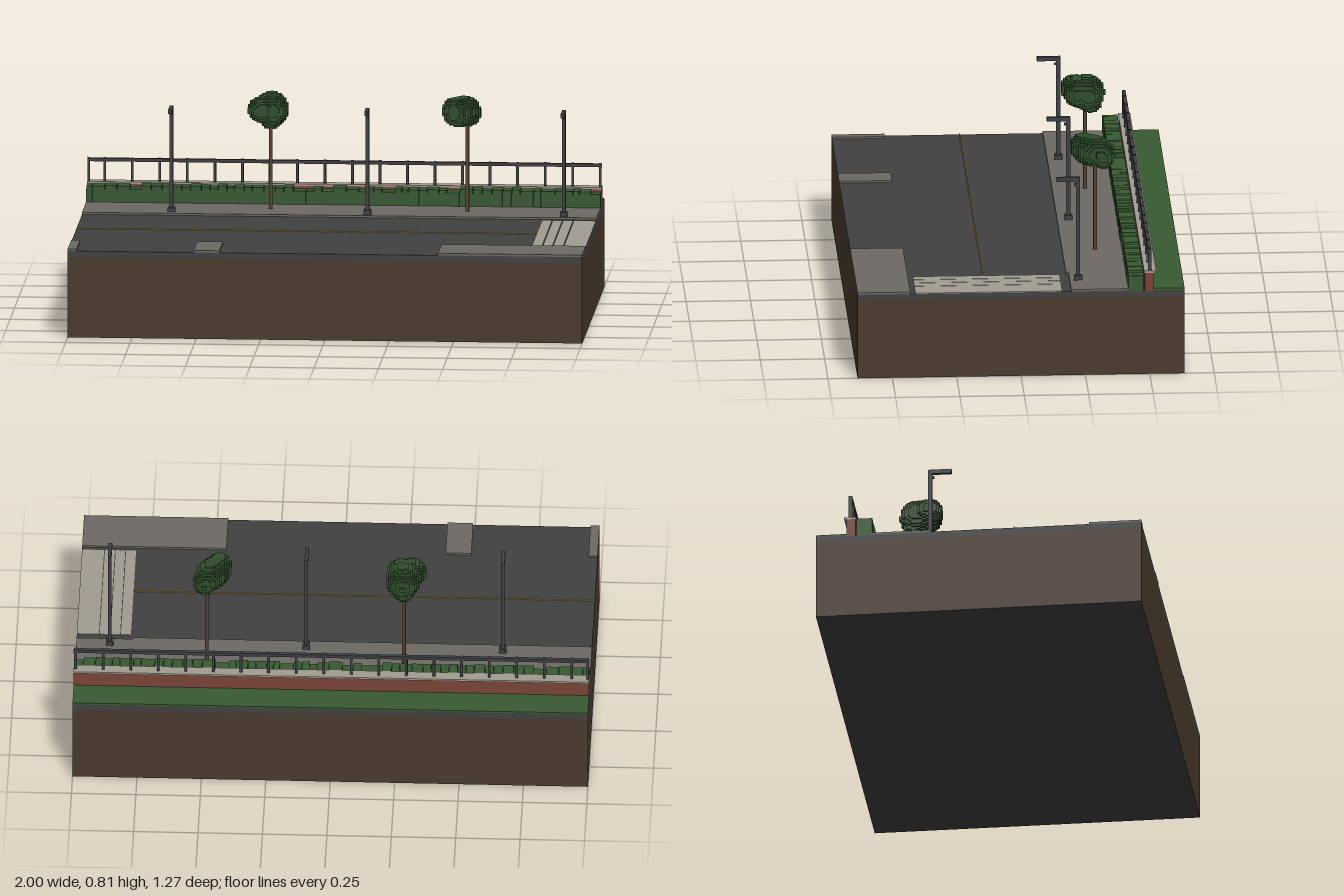
import * as THREE from 'three';
import { mergeGeometries } from 'three/addons/utils/BufferGeometryUtils.js';

const mat = (name, color) => {
  const m = new THREE.MeshStandardMaterial({ color });
  m.name = name;
  return m;
};

export function createModel() {
  const root = new THREE.Group();
  root.name = 'streetSection';
  const M = {
    dirt: mat('dirt brown', 0x4a3a2b),
    asphalt: mat('asphalt grey', 0x414141),
    paving: mat('paving grey', 0x6d6963),
    pale: mat('pale stone', 0xa29d91),
    grass: mat('grass green', 0x385a33),
    leaf: mat('leaf green', 0x2f4d2b),
    brick: mat('brick red', 0x7a4536),
    metal: mat('dark metal', 0x3f4043),
    bark: mat('bark brown', 0x54402f),
    yellow: mat('line yellow', 0xb28a26),
  };
  let seed = 7;
  const rand = () => (seed = (seed * 16807) % 2147483647) / 2147483647;

  // Box given by its limits on each axis
  const slab = (x0, x1, y0, y1, z0, z1) => new THREE.BoxGeometry(x1 - x0, y1 - y0, z1 - z0)
    .translate((x0 + x1) / 2, (y0 + y1) / 2, (z0 + z1) / 2);
  const add = (name, material, geos, parent = root) => {
    const mesh = new THREE.Mesh(Array.isArray(geos) ? mergeGeometries(geos) : geos, material);
    mesh.name = name;
    parent.add(mesh);
    return mesh;
  };

  // Ground block with a road layer on top
  const D = 0.635, Y = 0.34, K = 0.348;
  add('groundBase', M.asphalt, slab(-1, 1, 0, 0.003, -D, D));
  add('ground', M.dirt, slab(-1, 1, 0.003, 0.315, -D, D));
  add('road', M.asphalt, slab(-1, 1, 0.315, Y, -D, D));

  // Pavements; the far one steps back at the crossing
  add('farPavement', M.paving, [
    slab(-1, 0.78, Y, K, -0.42, -0.185),
    slab(0.78, 1, Y, K, -0.42, -0.195),
  ]);
  add('nearPavement', M.paving, [[-1, -0.965], [-0.51, -0.41], [0.44, 1]]
    .map(([a, b]) => slab(a, b, Y, K, 0.43, D)));
  add('grassVerge', M.grass, slab(-1, 1, Y, K, -D, -0.515));

  // Crossing strips and the dashed centre line
  add('crossing', M.pale, [[0.79, 0.829], [0.832, 0.869], [0.872, 0.911], [0.914, 1]]
    .map(([a, b]) => slab(a, b, Y, Y + 0.003, -0.16, 0.41)));
  const dashes = [];
  for (let x = -1; x < 0.76; x += 0.05) dashes.push(slab(x, x + 0.042, Y, Y + 0.004, 0.136, 0.14));
  add('centreLine', M.yellow, dashes);

  // Clipped hedge of uneven segments
  const hedge = [slab(-1, 1, Y, 0.398, -0.475, -0.418)];
  for (let x = -1; x < 0.999;) {
    const end = Math.min(1, x + 0.025 + rand() * 0.03);
    const top = rand() < 0.2 ? 0.401 : 0.409 + rand() * 0.007;
    hedge.push(slab(x + 0.001, end - 0.001, Y, top, -0.476, -0.415 - rand() * 0.002));
    x = end;
  }
  add('hedge', M.grass, hedge);

  // Brick wall with coping and railing
  add('brickWall', M.brick, slab(-1, 1, Y, 0.41, -0.515, -0.481));
  add('wallCoping', M.pale, slab(-1, 1, 0.41, 0.418, -0.525, -0.478));
  const fence = [slab(-1, 1, 0.495, 0.508, -0.507, -0.493)];
  const post = (x) => fence.push(slab(x - 0.005, x + 0.005, 0.418, 0.51, -0.507, -0.493));
  post(-0.995);
  for (let i = 0; i < 19; i++) post(-0.933 + i * 0.107);
  add('railing', M.metal, fence);

  // Street lamps reaching over the road
  [-0.655, 0.107, 0.87].forEach((x) => {
    const lamp = new THREE.Group();
    lamp.name = 'streetLamp';
    lamp.position.set(x, 0, -0.228);
    root.add(lamp);
    add('lampBase', M.metal, slab(-0.014, 0.014, Y, 0.365, -0.016, 0.016), lamp);
    add('lampPole', M.metal, slab(-0.007, 0.007, Y, 0.764, -0.008, 0.008), lamp);
    add('lampArm', M.metal, slab(-0.007, 0.007, 0.747, 0.764, -0.008, 0.083), lamp);
    add('lampBracket', M.metal, slab(-0.005, 0.005, 0.73, 0.738, 0, 0.016), lamp);
  });

  // Outer faces of all grid cells inside a union of ellipsoids [x, y, z, rx, ry, rz, turn]
  const S = 0.0085;
  const sides = [[0, 0, 1], [0, 0, -1], [1, 0, 0], [-1, 0, 0], [0, 1, 0], [0, -1, 0]];
  const faces = sides.map((d) => {
    const g = new THREE.PlaneGeometry(S, S);
    g.applyQuaternion(new THREE.Quaternion().setFromUnitVectors(
      new THREE.Vector3(0, 0, 1), new THREE.Vector3(...d)));
    return g.translate(d[0] * S / 2, d[1] * S / 2, d[2] * S / 2);
  });
  const canopy = (blobs) => {
    const inside = (i, j, k) => blobs.some(([x, y, z, rx, ry, rz, t]) => {
      const dx = i * S - x, dz = k * S - z;
      const u = dx * Math.cos(t) - dz * Math.sin(t), v = dx * Math.sin(t) + dz * Math.cos(t);
      return (u / rx) ** 2 + ((j * S - y) / ry) ** 2 + (v / rz) ** 2 < 1;
    });
    const out = [];
    for (let i = -13; i <= 13; i++) for (let j = -13; j <= 13; j++) for (let k = -13; k <= 13; k++) {
      if (!inside(i, j, k)) continue;
      sides.forEach((d, n) => {
        if (!inside(i + d[0], j + d[1], k + d[2])) out.push(faces[n].clone().translate(i * S, j * S, k * S));
      });
    }
    return mergeGeometries(out);
  };

  // Two street trees with blocky crowns
  const tree = (trunkX, cx, cy, blobs) => {
    const group = new THREE.Group();
    group.name = 'tree';
    root.add(group);
    add('treeTrunk', M.bark, slab(trunkX - 0.007, trunkX + 0.007, Y, cy, -0.32, -0.306), group);
    add('treeCrown', M.leaf, canopy(blobs), group).position.set(cx, cy, -0.303);
  };
  tree(-0.275, -0.28, 0.735, [
    [0.008, 0.005, -0.018, 0.066, 0.068, 0.068, 0],
    [-0.025, 0.012, 0.03, 0.055, 0.05, 0.055, 0],
    [0.02, 0.01, 0.022, 0.052, 0.056, 0.052, 0],
    [0.005, -0.035, -0.03, 0.04, 0.04, 0.045, 0],
  ]);
  tree(0.49, 0.468, 0.742, [
    [0, 0, 0, 0.058, 0.058, 0.092, -0.6],
    [0.028, -0.012, -0.04, 0.044, 0.05, 0.046, 0],
    [-0.025, 0.012, 0.034, 0.048, 0.047, 0.05, 0],
  ]);
  return root;
}
